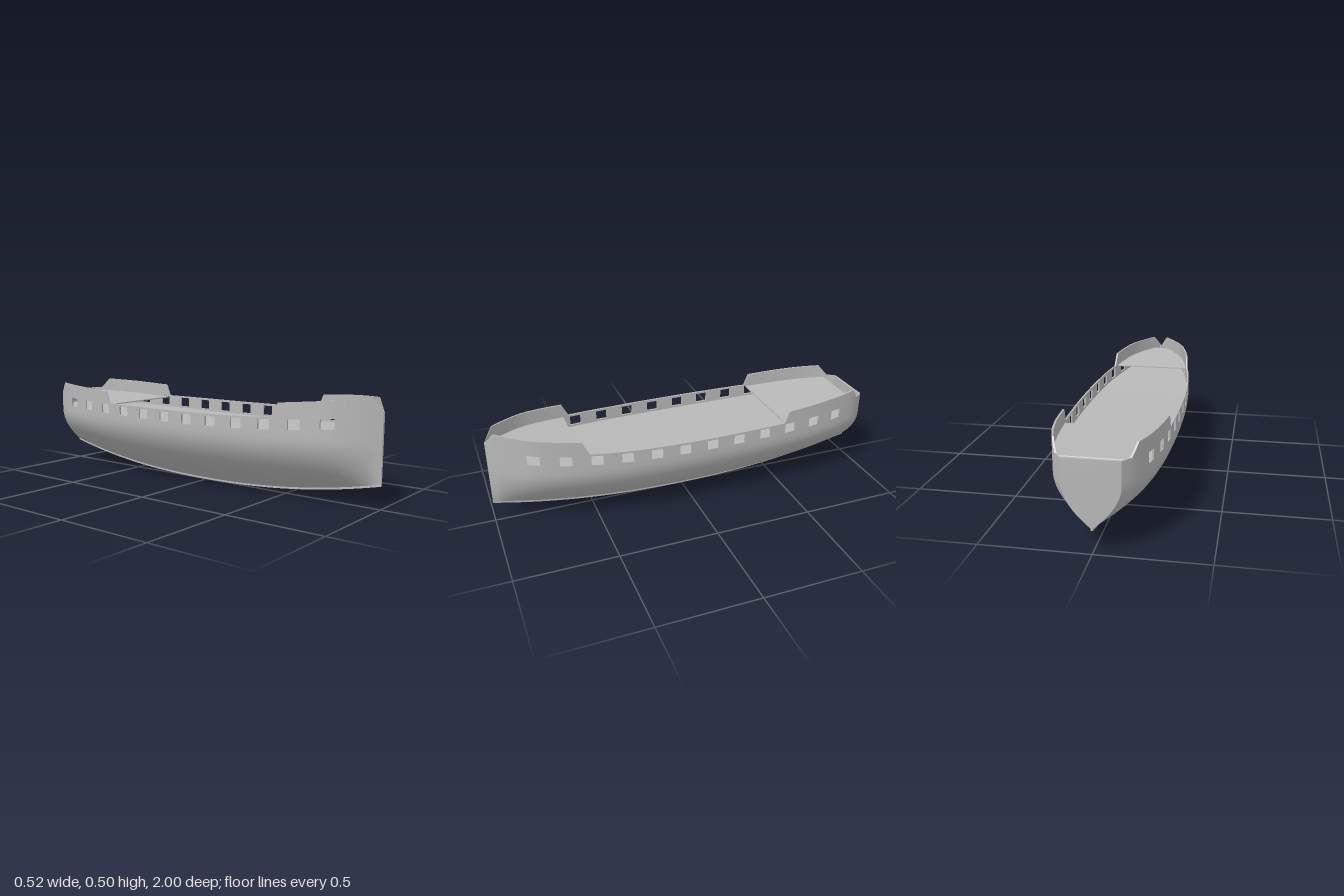
import * as THREE from 'three';
import { toCreasedNormals } from 'three/addons/utils/BufferGeometryUtils.js';

const WALL = 0.009; // hull planking thickness
const ROWS = 14; // rows between keel and gunport sills
const PORT_HALF = 0.029;
const ports = Array.from({ length: 12 }, (_, i) => 0.8 - i * 0.145);

// Interpolated curve through [z, value] pairs
function curve(pairs, Type) {
  const it = new Type(pairs.map(p => p[0]), pairs.map(p => p[1]), 1, new Float32Array(1));
  return z => it.evaluate(z)[0];
}

const beamKeys = [[-1, 0.125], [-0.94, 0.168], [-0.85, 0.2], [-0.7, 0.23], [-0.5, 0.25], [-0.25, 0.26],
  [0, 0.262], [0.22, 0.255], [0.4, 0.241], [0.575, 0.214], [0.7, 0.186], [0.8, 0.152], [0.9, 0.09],
  [0.955, 0.046], [1, 0.005]];
const sheerKeys = [[-1, 0.42], [-0.955, 0.42], [-0.91, 0.475], [-0.7, 0.467], [-0.497, 0.457], [-0.473, 0.395],
  [0, 0.395], [0.3, 0.398], [0.545, 0.407], [0.58, 0.475], [0.77, 0.491], [0.955, 0.504], [1, 0.442]];
const beam = curve(beamKeys, THREE.CubicInterpolant);
const sheer = curve(sheerKeys, THREE.LinearInterpolant);
const keelY = z => 0.004 + 0.108 * Math.abs(z) ** 2.2;
const sill = z => 0.335 + (z > 0 ? 0.045 : 0.02) * z * z;

// Half width of the hull at a station and height
function halfWidth(z, y) {
  const k = keelY(z) + 0.005;
  const t = THREE.MathUtils.clamp((y - k) / (0.31 - k), 0, 1);
  return 0.004 + (beam(z) - 0.004) * (1 - (1 - t) ** 1.9);
}

// Heights of the grid rows at a station
function rowHeights(z) {
  const k = keelY(z) + 0.005, s = sill(z), ys = [];
  for (let j = 0; j <= ROWS; j++) ys.push(k + (s - k) * (j / ROWS) ** 1.25);
  ys.push(s + 0.049, sheer(z));
  return ys;
}

// Stations: all breaks and port edges, then even filling
function stations() {
  const zs = sheerKeys.map(k => k[0]);
  ports.forEach(p => zs.push(p - PORT_HALF, p + PORT_HALF));
  for (let i = 1; i < 64; i++) {
    const z = -1 + i / 32;
    if (zs.every(q => Math.abs(q - z) > 0.012)) zs.push(z);
  }
  return zs.sort((a, b) => a - b);
}

function quadsToGeometry(quads, crease = 0.5) {
  const pos = [];
  for (const [a, b, c, d] of quads) pos.push(...a, ...b, ...c, ...a, ...c, ...d);
  const g = new THREE.BufferGeometry();
  g.setAttribute('position', new THREE.Float32BufferAttribute(pos, 3));
  return toCreasedNormals(g, crease);
}

// One side of the hull, a thick shell with open gunports
function hullSide(side) {
  const zs = stations(), ys = zs.map(rowHeights), quads = [];
  const nz = zs.length - 1, ny = ROWS + 2;
  const outer = ([i, j]) => [side * halfWidth(zs[i], ys[i][j]), ys[i][j], zs[i]];
  const inner = ([i, j]) => [side * Math.max(0, halfWidth(zs[i], ys[i][j]) - WALL), ys[i][j], zs[i]];
  const solid = (i, j) => i >= 0 && j >= 0 && i < nz && j < ny &&
    !(j === ROWS && ports.some(p => Math.abs((zs[i] + zs[i + 1]) / 2 - p) < PORT_HALF));
  const add = q => quads.push(side > 0 ? q : q.reverse());
  for (let i = 0; i < nz; i++) {
    for (let j = 0; j < ny; j++) {
      if (!solid(i, j)) continue;
      const c = [[i, j], [i, j + 1], [i + 1, j + 1], [i + 1, j]];
      add(c.map(outer));
      add(c.map(inner).reverse());
      // Rims wherever the planking ends
      [[i - 1, j], [i, j + 1], [i + 1, j], [i, j - 1]].forEach((n, e) => {
        if (solid(...n)) return;
        const p = c[e], q = c[(e + 1) % 4];
        add([outer(q), outer(p), inner(p), inner(q)]);
      });
    }
  }
  return quadsToGeometry(quads);
}

// Thin deck plate fitted between the hull sides
function deck(from, to, height, breaks = []) {
  const zs = [...breaks], quads = [], T = 0.006;
  for (let i = 0; i <= 32; i++) zs.push(from + (to - from) * i / 32);
  zs.sort((a, b) => a - b);
  const pt = (z, s, drop) => {
    const y = height(z);
    return [s * Math.max(0.001, halfWidth(z, y) - 0.004), y - drop, z];
  };
  for (let i = 0; i < zs.length - 1; i++) {
    const a = zs[i], b = zs[i + 1];
    if (b - a < 1e-5) continue;
    quads.push([pt(a, -1, 0), pt(b, -1, 0), pt(b, 1, 0), pt(a, 1, 0)]);
    quads.push([pt(a, 1, T), pt(b, 1, T), pt(b, -1, T), pt(a, -1, T)]);
  }
  quads.push([pt(to, -1, 0), pt(to, -1, T), pt(to, 1, T), pt(to, 1, 0)]);
  quads.push([pt(from, 1, 0), pt(from, 1, T), pt(from, -1, T), pt(from, -1, 0)]);
  return quadsToGeometry(quads, 0.3);
}

// Flat stern plate following the last hull section
function transomGeometry() {
  const right = rowHeights(-1).map(y => new THREE.Vector2(halfWidth(-1, y) - 0.001, y));
  const left = right.map(p => new THREE.Vector2(-p.x, p.y)).reverse();
  const g = new THREE.ExtrudeGeometry(new THREE.Shape([...right, ...left]), { depth: 0.012, bevelEnabled: false });
  return g.translate(0, 0, -1);
}

// Curved keel strip along the bottom
function keelGeometry() {
  const low = [], high = [];
  for (let i = 0; i <= 40; i++) {
    const z = -1 + i / 20;
    low.push(new THREE.Vector2(-z, keelY(z) - 0.004));
    high.unshift(new THREE.Vector2(-z, keelY(z) + 0.012));
  }
  const g = new THREE.ExtrudeGeometry(new THREE.Shape([...low, ...high]), { depth: 0.01, bevelEnabled: false });
  return g.translate(0, 0, -0.005).rotateY(Math.PI / 2);
}

// Upright stem post, slightly wider at the top
function stemGeometry() {
  const shape = new THREE.Shape([[-0.004, 0.11], [0.004, 0.11], [0.008, 0.442], [-0.008, 0.442]]
    .map(p => new THREE.Vector2(...p)));
  return new THREE.ExtrudeGeometry(shape, { depth: 0.012, bevelEnabled: false }).translate(0, 0, 0.988);
}

export function createModel() {
  const model = new THREE.Group();
  model.name = 'shipHull';
  const grey = new THREE.MeshStandardMaterial({ color: 0xb8b8b8, side: THREE.DoubleSide });
  grey.name = 'hull grey';
  const add = (name, geometry) => {
    const mesh = new THREE.Mesh(geometry, grey);
    mesh.name = name;
    model.add(mesh);
  };

  add('leftHullSide', hullSide(1));
  add('rightHullSide', hullSide(-1));
  add('transom', transomGeometry());
  add('keel', keelGeometry());
  add('stemPost', stemGeometry());

  // Decks
  const aft = curve([[-1, 0.35], [-0.94, 0.405], [-0.485, 0.387]], THREE.LinearInterpolant);
  const fore = curve([[0.575, 0.405], [0.955, 0.435], [1, 0.37]], THREE.LinearInterpolant);
  add('mainDeck', deck(-0.99, 0.985, z => sill(z) - 0.01));
  add('aftDeck', deck(-0.99, -0.485, aft, [-0.94]));
  add('foreDeck', deck(0.575, 0.99, fore, [0.955]));
  return model;
}
